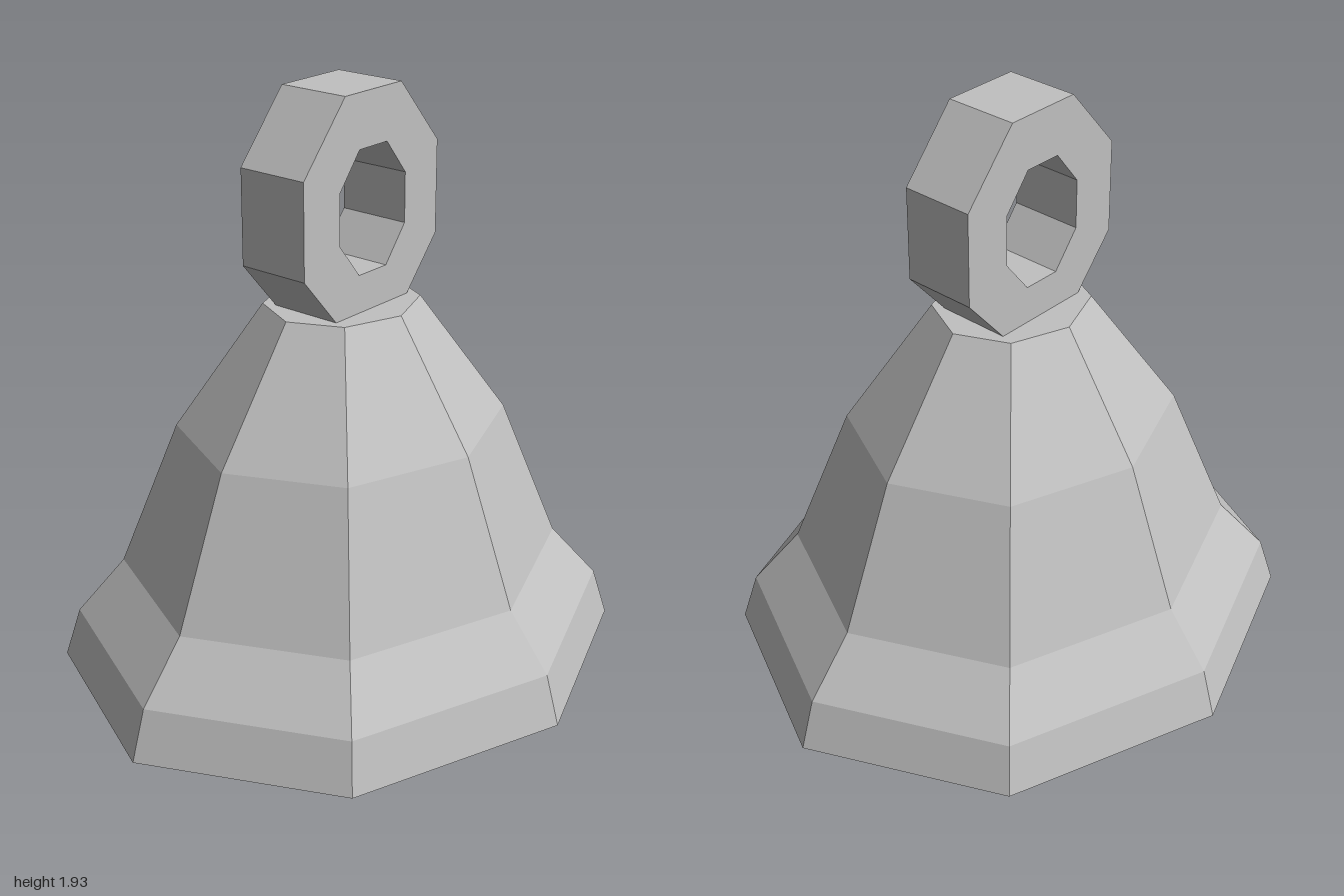
import * as THREE from 'three';

const SIDES = 8;
const DEPTH_SCALE = 0.89; // the bell is slightly narrower front to back

// Flat-topped octagon outline with separate half width and half height
function octagon(PathType, halfWidth, halfHeight) {
  const points = [];
  const k = 1 / Math.cos(Math.PI / SIDES);
  for (let i = 0; i < SIDES; i++) {
    const a = ((i + 0.5) / SIDES) * Math.PI * 2;
    points.push(new THREE.Vector2(Math.cos(a) * k * halfWidth, Math.sin(a) * k * halfHeight));
  }
  return new PathType(points);
}

// Eight-sided turned part from [radius, height] pairs
function turned(name, profile, material) {
  const points = profile.map(([r, y]) => new THREE.Vector2(r, y));
  const geometry = new THREE.LatheGeometry(points, SIDES).scale(1, 1, DEPTH_SCALE);
  const mesh = new THREE.Mesh(geometry, material);
  mesh.name = name;
  return mesh;
}

export function createModel() {
  const group = new THREE.Group();
  group.name = 'bell';
  const metal = new THREE.MeshStandardMaterial({ color: 0xc0c0c0 });
  metal.name = 'grey metal';
  metal.flatShading = true;

  // Hollow bell: inner cone, flat rim, flared outside and flat crown
  group.add(turned('bellBody', [
    [0, 1.12], [0.21, 1.12], [0.87, 0], [1, 0], [0.945, 0.165],
    [0.78, 0.345], [0.575, 0.825], [0.27, 1.23], [0, 1.23],
  ], metal));

  // Clapper: rod and faceted ball hanging inside
  group.add(turned('clapperRod', [[0.06, 0.22], [0.06, 1.13]], metal));
  group.add(turned('clapperBall', [
    [0, 0.06], [0.1, 0.06], [0.145, 0.14], [0.145, 0.19], [0.1, 0.27], [0, 0.27],
  ], metal));

  // Hanging ring, sunk a little into the crown
  const shape = octagon(THREE.Shape, 0.325, 0.375);
  shape.holes.push(octagon(THREE.Path, 0.16, 0.2));
  const ringGeometry = new THREE.ExtrudeGeometry(shape, { depth: 0.25, bevelEnabled: false });
  ringGeometry.translate(0, 1.555, -0.125);
  const ring = new THREE.Mesh(ringGeometry, metal);
  ring.name = 'hangingRing';
  group.add(ring);

  return group;
}
